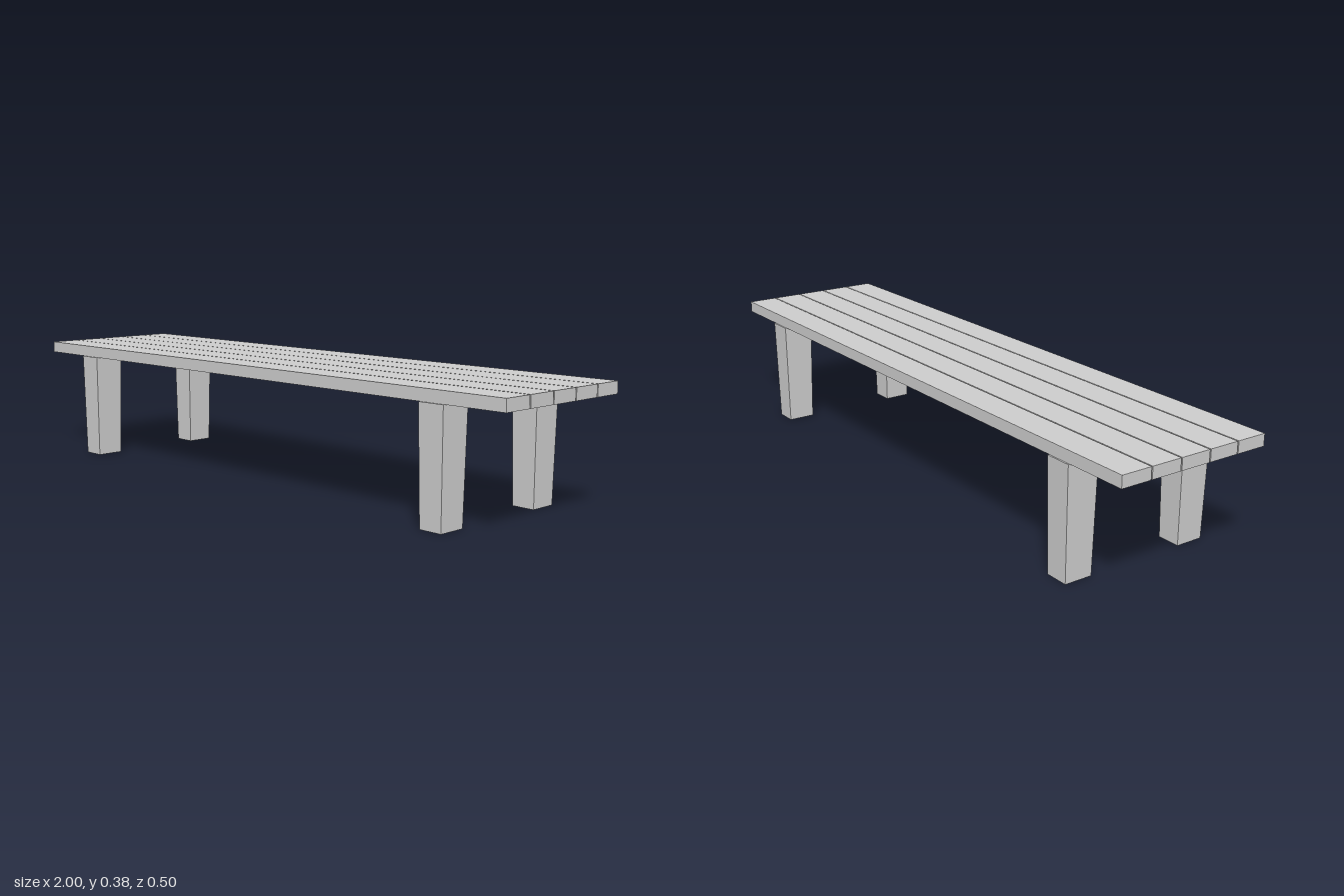
import * as THREE from 'three';

const material = new THREE.MeshStandardMaterial({ color: 0xcccccc, flatShading: true });

const SEAT_BOTTOM = 0.339;
const SEAT_TOP = 0.375;

// Box whose lower end is narrowed to form a tapered leg
function taperedLeg(topX, topZ, bottomX, bottomZ, height) {
  const geometry = new THREE.BoxGeometry(topX, height, topZ);
  const pos = geometry.attributes.position;
  for (let i = 0; i < pos.count; i++) {
    if (pos.getY(i) < 0) {
      pos.setX(i, Math.sign(pos.getX(i)) * bottomX / 2);
      pos.setZ(i, Math.sign(pos.getZ(i)) * bottomZ / 2);
    }
  }
  geometry.translate(0, height / 2, 0);
  geometry.computeVertexNormals();
  return geometry;
}

export function createModel() {
  const bench = new THREE.Group();
  bench.name = 'bench';

  // Five seat planks with narrow gaps
  const thickness = SEAT_TOP - SEAT_BOTTOM;
  const plankGeometry = new THREE.BoxGeometry(2, thickness, 0.0955);
  for (let i = -2; i <= 2; i++) {
    const plank = new THREE.Mesh(plankGeometry, material);
    plank.name = `seatPlank${i + 3}`;
    plank.position.set(0, SEAT_BOTTOM + thickness / 2, i * 0.0992);
    bench.add(plank);
  }

  // Four tapered legs
  const legGeometry = taperedLeg(0.083, 0.1, 0.073, 0.088, SEAT_BOTTOM);
  for (const [side, x] of [['Left', 0.766], ['Right', -0.766]]) {
    for (const [end, z] of [['front', 0.201], ['back', -0.201]]) {
      const leg = new THREE.Mesh(legGeometry, material);
      leg.name = `${end}${side}Leg`;
      leg.position.set(x, 0, z);
      bench.add(leg);
    }
  }

  return bench;
}
